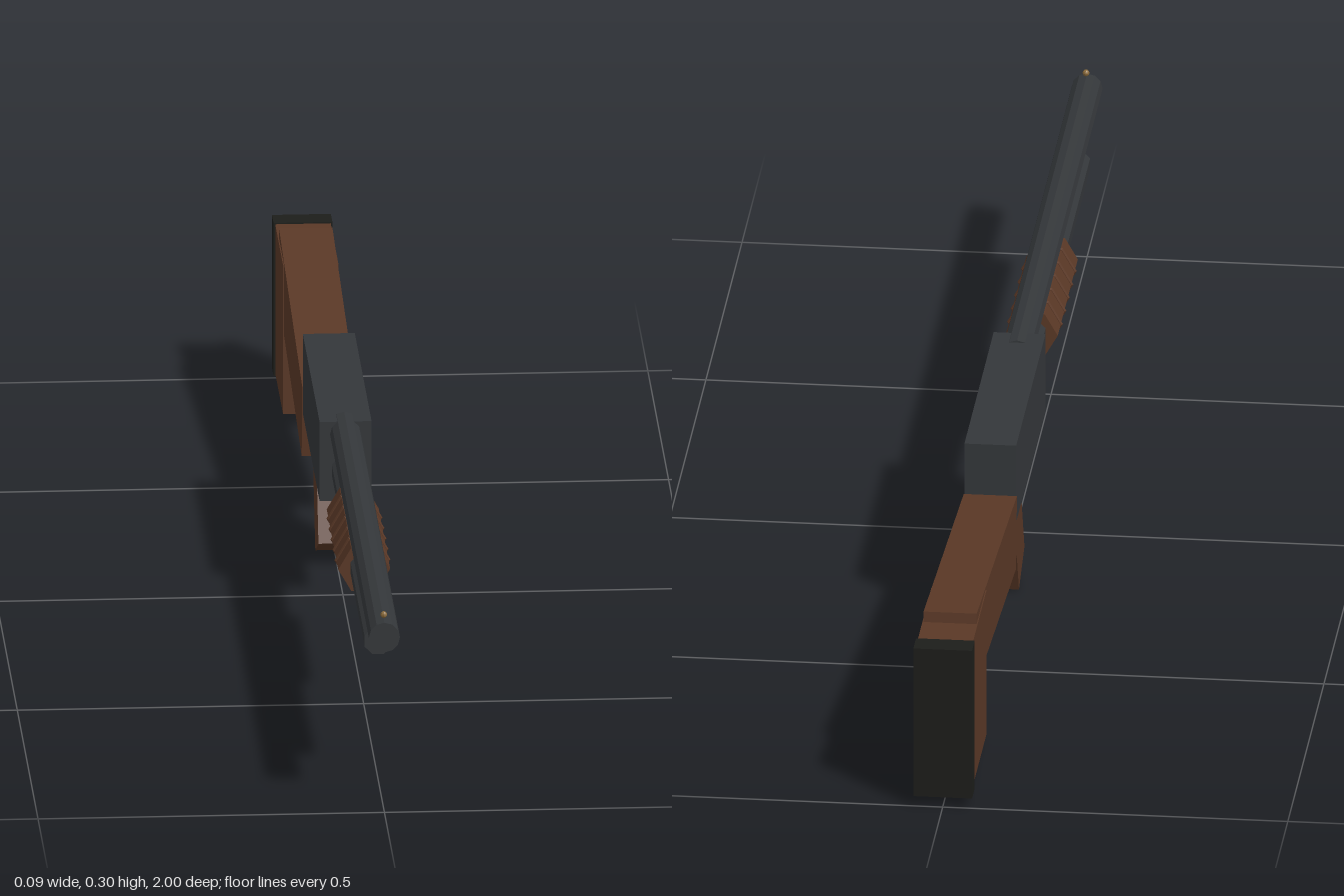
import * as THREE from 'three';

const paint = (color) => new THREE.MeshStandardMaterial({ color, flatShading: true });

export function createModel() {
  const group = new THREE.Group();
  const steel = paint(0x34373a);
  const wood = paint(0x5a3826);
  const rubber = paint(0x1c1d1a);
  const brass = paint(0x8a6a3a);

  const add = (name, geometry, material, y, z, tilt = 0) => {
    const mesh = new THREE.Mesh(geometry, material);
    mesh.name = name;
    mesh.position.set(0, y, z);
    mesh.rotation.x = tilt;
    group.add(mesh);
    return mesh;
  };
  const box = (name, material, w, h, d, y, z, tilt) =>
    add(name, new THREE.BoxGeometry(w, h, d), material, y, z, tilt);
  // Cylinder lying along z from z0 to z1
  const rod = (name, material, radius, sides, y, z0, z1, turn = 0) =>
    add(name, new THREE.CylinderGeometry(radius, radius, z1 - z0, sides)
      .rotateY(turn).rotateX(Math.PI / 2), material, y, (z0 + z1) / 2);

  // Receiver, barrel and magazine tube
  box('receiver', steel, 0.075, 0.12, 0.405, 0.225, -0.138);
  rod('barrel', steel, 0.0225, 12, 0.266, 0.03, 1);
  rod('magazineTube', steel, 0.0215, 8, 0.212, 0.03, 0.852, Math.PI / 8);
  add('frontSight', new THREE.SphereGeometry(0.005, 8, 6), brass, 0.296, 0.985);

  // Sliding fore-end with raised grip rings
  rod('foreEnd', wood, 0.0375, 6, 0.209, 0.235, 0.513, Math.PI / 6);
  for (let i = 0; i < 5; i++) {
    add('foreEndRing', new THREE.TorusGeometry(0.0365, 0.004, 6, 6), wood, 0.209, 0.278 + i * 0.048);
  }

  // Trigger guard hangs below the receiver
  const guard = add('triggerGuard', new THREE.TorusGeometry(0.032, 0.005, 6, 12, Math.PI), rubber, 0.166, -0.177);
  guard.rotation.set(0, Math.PI / 2, Math.PI);

  // Grip and sloping stock
  box('grip', wood, 0.055, 0.18, 0.084, 0.1, -0.206, -0.43);
  box('stock', wood, 0.077, 0.11, 0.56, 0.179, -0.624, 0.1);
  box('butt', wood, 0.08, 0.226, 0.19, 0.133, -0.87);
  box('buttPad', rubber, 0.085, 0.232, 0.037, 0.132, -0.9815);

  return group;
}
